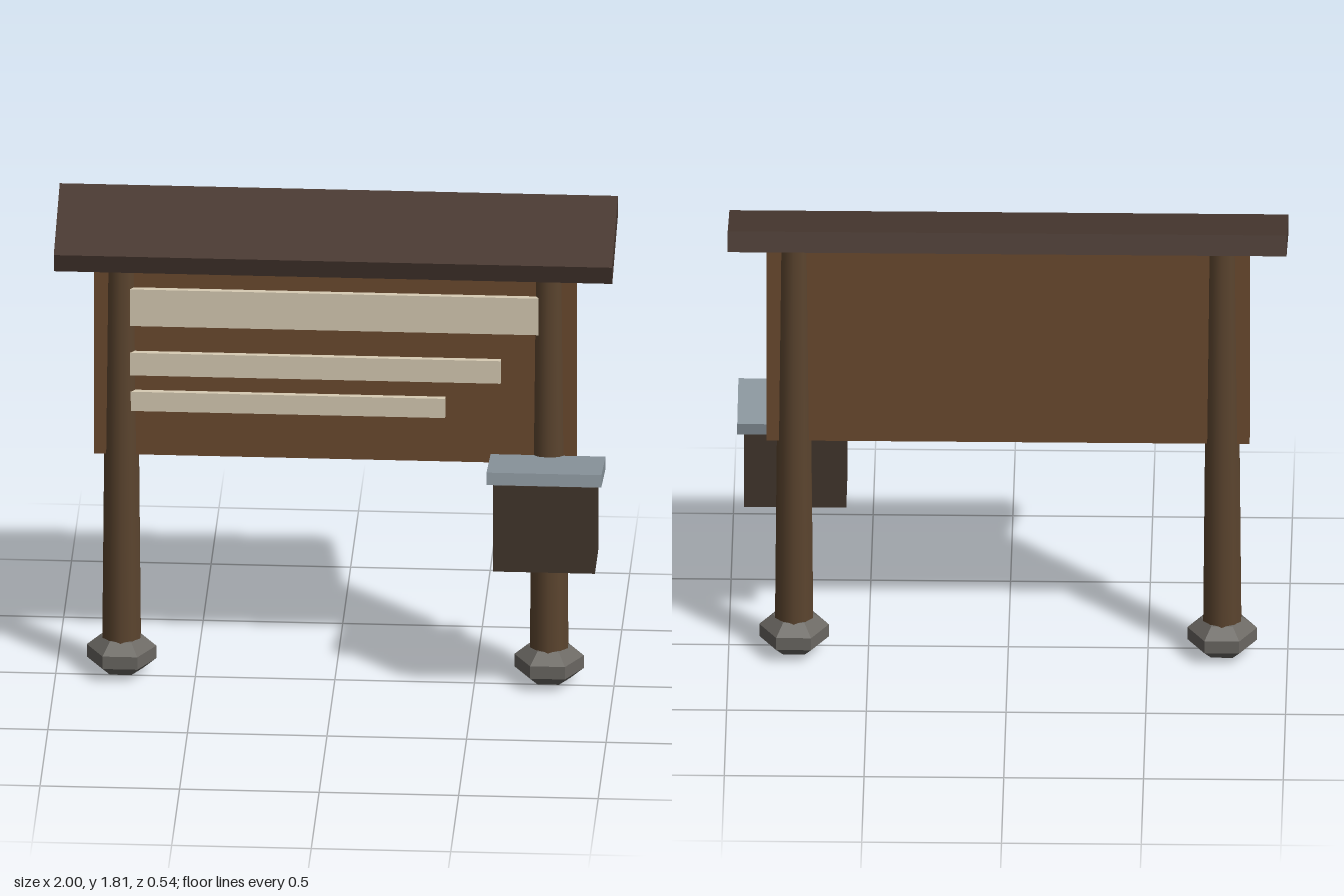
import * as THREE from 'three';

const mat = (color, flatShading = false) => new THREE.MeshStandardMaterial({ color, flatShading });

export function createModel() {
  const group = new THREE.Group();
  const roofWood = mat(0x4a3a32);
  const postWood = mat(0x5c452f);
  const panelWood = mat(0x6b4a2f);
  const boxWood = mat(0x42362c);
  const paper = mat(0xd8ccb4);
  const metal = mat(0x8c979f);
  const stone = mat(0x6a6762, true);

  const add = (name, geometry, material, x, y, z) => {
    const mesh = new THREE.Mesh(geometry, material);
    mesh.name = name;
    mesh.position.set(x, y, z);
    group.add(mesh);
    return mesh;
  };
  // box given by its limits on each axis
  const addBox = (name, material, [x0, x1], [y0, y1], [z0, z1]) =>
    add(name, new THREE.BoxGeometry(x1 - x0, y1 - y0, z1 - z0), material,
      (x0 + x1) / 2, (y0 + y1) / 2, (z0 + z1) / 2);

  const depth = -0.033; // z of the posts and the panel

  // tapered posts standing in faceted foot stones
  for (const [side, s] of [['left', 1], ['right', -1]]) {
    add(side + 'Post', new THREE.CylinderGeometry(0.057, 0.072, 1.6, 10), postWood, s * 0.766, 0.88, depth);
    const foot = add(side + 'FootStone', new THREE.SphereGeometry(0.131, 6, 5), stone, s * 0.766, 0.083, depth);
    foot.scale.y = 0.6;
  }

  // notice panel
  addBox('panel', panelWood, [-0.864, 0.864], [0.867, 1.635], [-0.064, -0.002]);

  // pale strips on the panel: right end, bottom, top
  const strips = [[0.73, 1.377, 1.52], [0.595, 1.184, 1.272], [0.396, 1.045, 1.12]];
  strips.forEach(([end, y0, y1], i) =>
    addBox('noticeStrip' + (i + 1), paper, [-0.733, end], [y0, y1], [-0.005, 0.018]));

  // sloping roof board, higher at the back
  const roof = add('roof', new THREE.BoxGeometry(2, 0.076, 0.395), roofWood, 0, 1.717, -0.072);
  roof.rotation.x = 0.295;

  // box on the left post, with a tilted lid
  addBox('box', boxWood, [0.58, 0.946], [0.552, 0.888], [0.02, 0.25]);
  const lid = add('boxLid', new THREE.BoxGeometry(0.412, 0.046, 0.27), metal, 0.764, 0.899, 0.134);
  lid.rotation.x = -0.165;

  return group;
}
